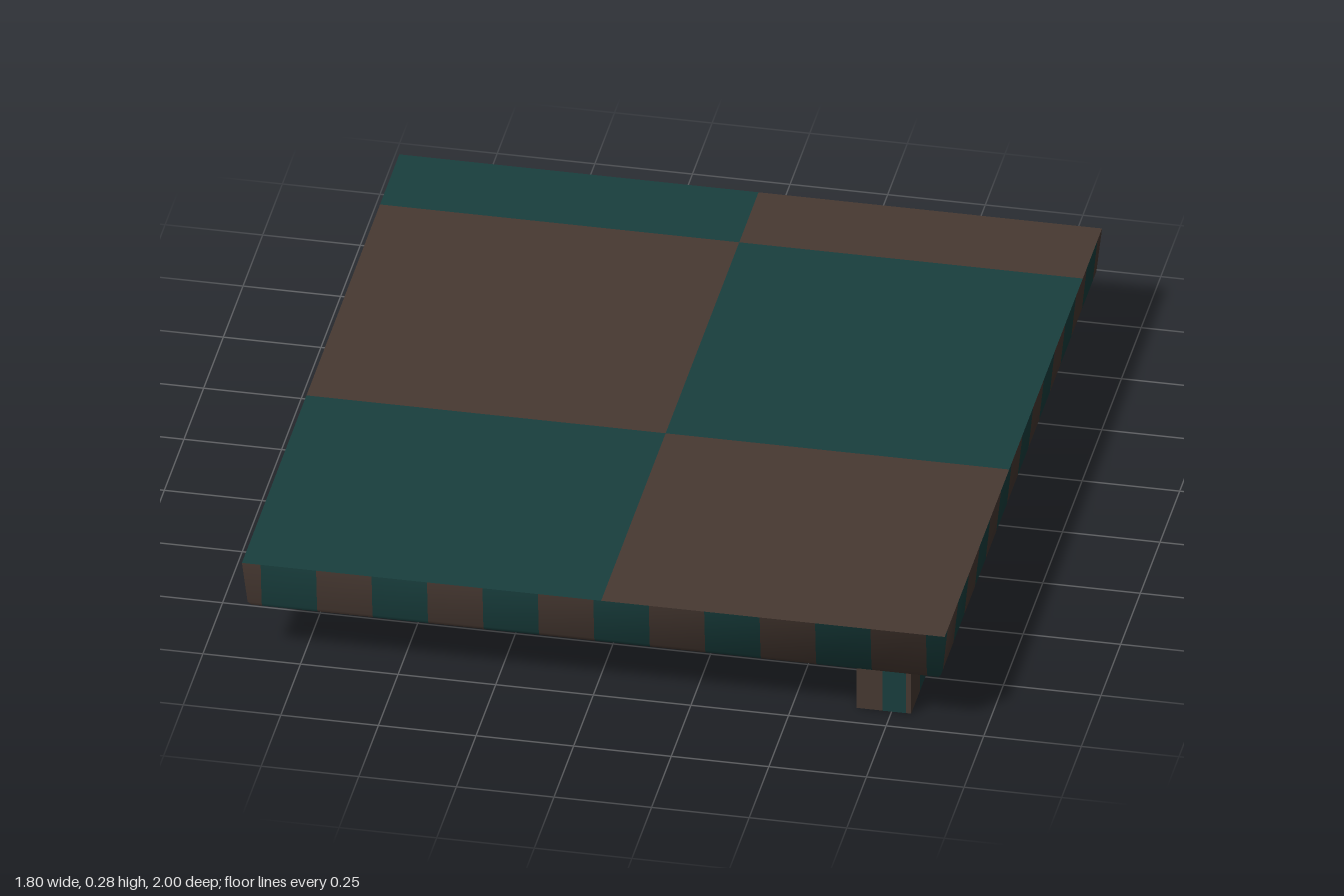
import * as THREE from 'three';

const teal = new THREE.MeshStandardMaterial({ color: 0x193f3e });
teal.name = 'dark teal';
const brown = new THREE.MeshStandardMaterial({ color: 0x473932 });
brown.name = 'dark brown';

// Slab outline: y level, half width in x, half depth in z, downward lean of the normal
const rim = [[0.148, 0.88, 0.98], [0.16, 0.888, 0.988], [0.28, 0.9, 1]];
const lean = [0.8, 0.4, 0.1];
const CELL_X = 0.142, CELL_Z = 0.136, START_Z = 0.011;

// Grid lines of one cell size, cut off at +-half
function cuts(cell, start, half) {
  const lines = [-half];
  for (let i = Math.ceil((-half - start) / cell); i * cell + start < half; i++) lines.push(i * cell + start);
  lines.push(half);
  return lines;
}

// A face split along u and v lines, with one mesh for each colour
function checkerFace(name, us, vs, point, isTeal, flip, softNormal) {
  const group = new THREE.Group();
  group.name = name;
  const points = { teal: [], brown: [] };
  for (let i = 0; i < us.length - 1; i++) {
    for (let j = 0; j < vs.length - 1; j++) {
      const a = point(us[i], vs[j]), b = point(us[i + 1], vs[j]);
      const c = point(us[i + 1], vs[j + 1]), d = point(us[i], vs[j + 1]);
      const u = (us[i] + us[i + 1]) / 2, v = (vs[j] + vs[j + 1]) / 2;
      const order = flip ? [a, c, b, a, d, c] : [a, b, c, a, c, d];
      points[isTeal(u, v) ? 'teal' : 'brown'].push(...order);
    }
  }
  for (const [colour, material] of [['teal', teal], ['brown', brown]]) {
    const geometry = new THREE.BufferGeometry();
    geometry.setAttribute('position', new THREE.Float32BufferAttribute(points[colour].flat(), 3));
    if (softNormal) {
      const normals = points[colour].flatMap((p) => softNormal(p).toArray());
      geometry.setAttribute('normal', new THREE.Float32BufferAttribute(normals, 3));
    } else geometry.computeVertexNormals();
    const mesh = new THREE.Mesh(geometry, material);
    mesh.name = `${name} ${colour} checks`;
    group.add(mesh);
  }
  return group;
}

const even = (n) => Math.abs(n) % 2 === 0;
const clamp = THREE.MathUtils.clamp;
const column = (x) => Math.floor(x / CELL_X);
const rank = (z) => Math.floor((z - START_Z) / CELL_Z);

function createSlab() {
  const slab = new THREE.Group();
  slab.name = 'slab';
  const xs = cuts(CELL_X, 0, 0.9), zs = cuts(CELL_Z, START_Z, 1);
  const levels = [0, 1, 2];

  // Sides shade softly around the corners
  const soft = ([x, y, z]) => {
    const level = rim.findIndex((r) => r[0] === y);
    return new THREE.Vector3(x / rim[level][1], -lean[level], z / rim[level][2]).normalize();
  };

  // Top with large checks
  slab.add(checkerFace('top', [-0.9, 0.02, 0.9], [-1, -0.755, 0.18, 1],
    (x, z) => [x, 0.28, z],
    (x, z) => (x < 0.02) !== (z > -0.755 && z < 0.18), true));

  // Underside with small checks
  slab.add(checkerFace('underside', xs, zs,
    (x, z) => [clamp(x, -0.88, 0.88), rim[0][0], clamp(z, -0.98, 0.98)],
    (x, z) => !even(column(x) + rank(z)), false));

  // Tapered sides with stripes
  for (const s of [1, -1]) {
    slab.add(checkerFace(s > 0 ? 'front side' : 'back side', xs, levels,
      (x, l) => [clamp(x, -rim[l][1], rim[l][1]), rim[l][0], s * rim[l][2]],
      (x) => even(column(x)), s < 0, soft));
    slab.add(checkerFace(s > 0 ? 'left side' : 'right side', zs, levels,
      (z, l) => [s * rim[l][1], rim[l][0], clamp(z, -rim[l][2], rim[l][2])],
      (z) => !even(rank(z)), s > 0, soft));
  }
  return slab;
}

function createGrip() {
  const grip = new THREE.Group();
  grip.name = 'grip';

  // Solid end blocks
  for (const [z0, z1] of [[-0.07, 0.04], [0.82, 0.93]]) {
    const block = new THREE.Mesh(new THREE.BoxGeometry(0.14, 0.15, z1 - z0), brown);
    block.position.set(0.73, 0.075, (z0 + z1) / 2);
    block.name = 'grip end';
    grip.add(block);
  }

  // Grooved middle in striped lengths
  const profile = new THREE.Shape([[0.66, 0], [0.8, 0], [0.8, 0.045], [0.765, 0.065], [0.76, 0.15], [0.66, 0.15]]
    .map(([x, y]) => new THREE.Vector2(x, y)));
  const lengths = [[0.04, 0.08, brown], [0.08, 0.325, teal], [0.325, 0.56, brown], [0.56, 0.82, teal]];
  for (const [z0, z1, material] of lengths) {
    const geometry = new THREE.ExtrudeGeometry(profile, { depth: z1 - z0, bevelEnabled: false });
    geometry.translate(0, 0, z0);
    const bar = new THREE.Mesh(geometry, material);
    bar.name = 'grip bar';
    grip.add(bar);
  }

  // Teal patches on the two ends
  for (const [x, z] of [[0.757, 0.93], [0.695, -0.07]]) {
    const patch = new THREE.Mesh(new THREE.BoxGeometry(0.06, 0.148, 0.004), teal);
    patch.position.set(x, 0.075, z);
    patch.name = 'grip end patch';
    grip.add(patch);
  }
  return grip;
}

export function createModel() {
  const model = new THREE.Group();
  model.name = 'checkered panel with grip';
  model.add(createSlab(), createGrip());
  return model;
}
